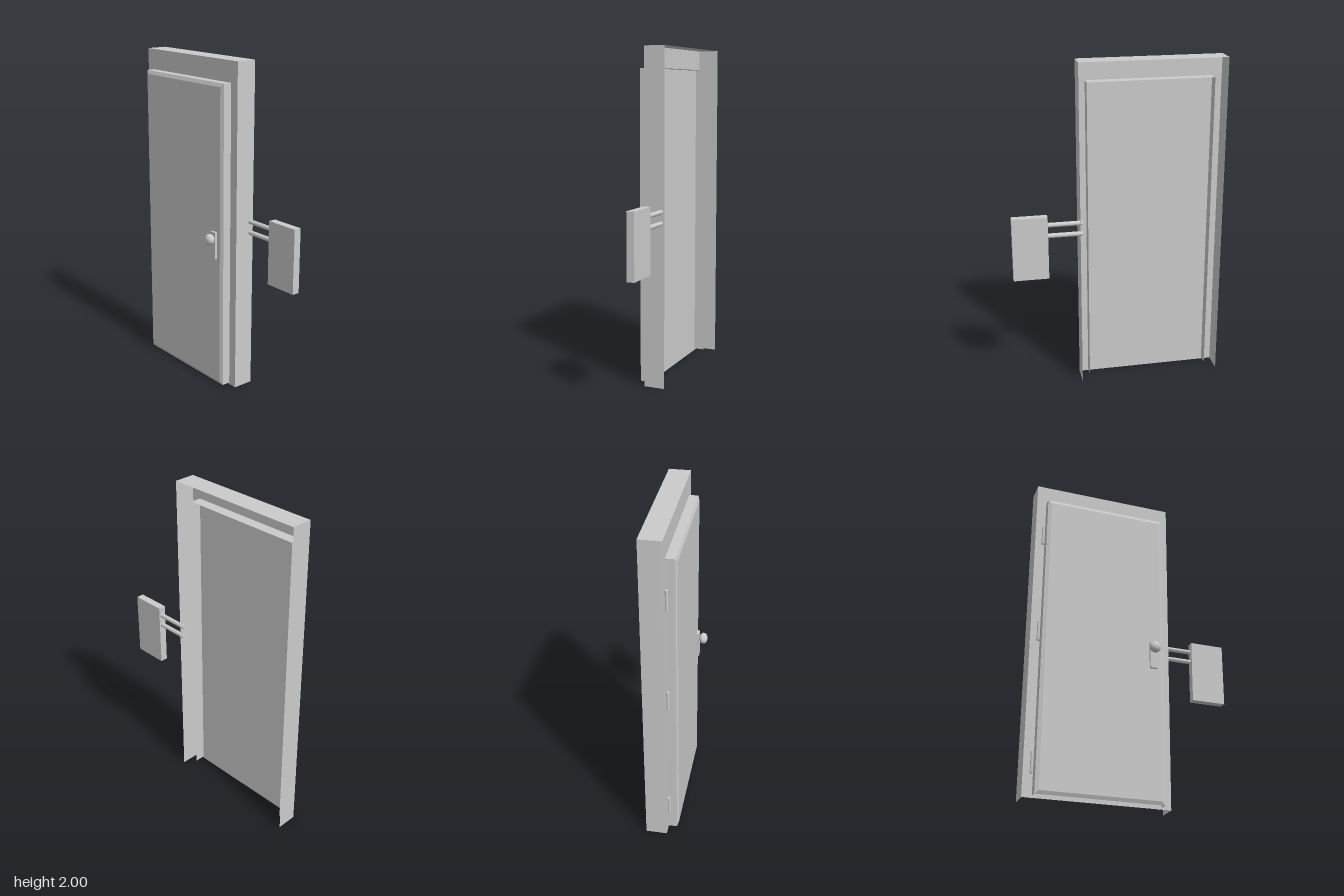
import * as THREE from 'three';

const solid = new THREE.MeshStandardMaterial({ color: 0xcccccc });
const sheet = new THREE.MeshStandardMaterial({ color: 0xcccccc, side: THREE.DoubleSide });

// Rectangle loop at depth z: bottom-left, top-left, top-right, bottom-right
function ring(x0, x1, y0, y1, z) {
  return [[x0, y0, z], [x0, y1, z], [x1, y1, z], [x1, y0, z]];
}

// Shell skinned through rings from back to front; the last ring is capped.
// Bands listed in openBottom leave out their bottom side.
function shell(name, rings, openBottom) {
  const pos = [];
  const quad = (a, b, c, d) => [a, b, c, a, c, d].forEach((p) => pos.push(...p));
  for (let r = 0; r < rings.length - 1; r++) {
    const back = rings[r], front = rings[r + 1];
    const sides = openBottom.includes(r) ? 3 : 4;
    for (let i = 0; i < sides; i++) {
      const j = (i + 1) % 4;
      quad(back[i], front[i], front[j], back[j]);
    }
  }
  const [a, b, c, d] = rings[rings.length - 1];
  quad(a, d, c, b);
  const geo = new THREE.BufferGeometry();
  geo.setAttribute('position', new THREE.Float32BufferAttribute(pos, 3));
  geo.computeVertexNormals();
  const mesh = new THREE.Mesh(geo, sheet);
  mesh.name = name;
  return mesh;
}

export function createModel() {
  const model = new THREE.Group();
  model.name = 'door';

  const add = (name, geo, x, y, z) => {
    const mesh = new THREE.Mesh(geo, solid);
    mesh.name = name;
    mesh.position.set(x, y, z);
    model.add(mesh);
    return mesh;
  };

  // Frame: thin casing, open at the back and bottom
  model.add(shell('frame', [
    ring(-0.635, 0.23, 0, 2, -0.127),
    ring(-0.635, 0.23, 0, 2, 0),
  ], [0]));

  // Door leaf: thin shell passing through the frame, bevelled at the front
  model.add(shell('doorLeaf', [
    ring(-0.577, 0.174, 0.01, 1.875, -0.065),
    ring(-0.577, 0.174, 0.01, 1.875, 0.052),
    ring(-0.555, 0.152, 0.03, 1.853, 0.061),
  ], [0]));

  // Hinge pins
  for (const y of [0.195, 0.99, 1.64]) {
    add('hinge', new THREE.CylinderGeometry(0.009, 0.009, 0.12, 12), -0.588, y, 0.008);
  }

  // Handle: plate, stem and flattened knob
  add('handlePlate', new THREE.BoxGeometry(0.043, 0.165, 0.018), 0.106, 0.913, 0.068);
  const stem = add('knobStem', new THREE.CylinderGeometry(0.014, 0.014, 0.04, 16), 0.106, 0.954, 0.075);
  stem.rotation.x = Math.PI / 2;
  const knob = add('knob', new THREE.SphereGeometry(0.034, 24, 16), 0.106, 0.954, 0.101);
  knob.scale.z = 0.77;

  // Side box and the two rods joining it to the frame
  add('sideBox', new THREE.BoxGeometry(0.211, 0.387, 0.046), 0.527, 0.917, -0.104);
  for (const y of [1.055, 0.988]) {
    const rod = add('rod', new THREE.CylinderGeometry(0.014, 0.014, 0.215, 12), 0.3225, y, -0.106);
    rod.rotation.z = Math.PI / 2;
  }

  return model;
}
